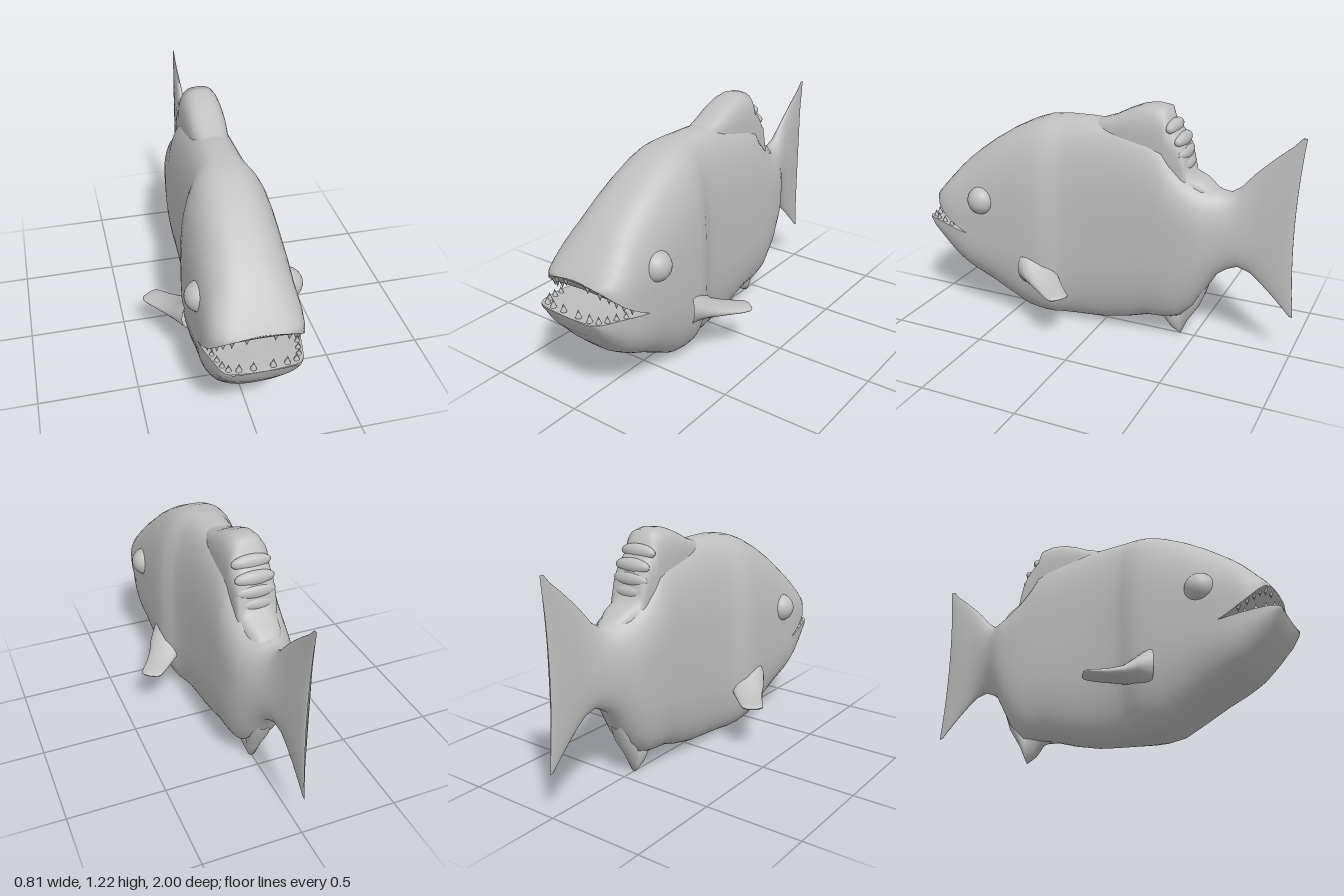
import * as THREE from 'three';
import { mergeVertices, mergeGeometries } from 'three/addons/utils/BufferGeometryUtils.js';

const skin = new THREE.MeshStandardMaterial({ color: 0xc0c0c0, side: THREE.DoubleSide });
skin.name = 'grey skin';

// Skins a list of equally long point rows
function skinRows(rows) {
  const pos = [], index = [], n = rows[0].length;
  rows.forEach(row => row.forEach(p => pos.push(...p)));
  for (let i = 0; i < rows.length - 1; i++) {
    for (let j = 0; j < n - 1; j++) {
      const a = i * n + j, c = a + n;
      index.push(a, c, a + 1, a + 1, c, c + 1);
    }
  }
  const g = new THREE.BufferGeometry();
  g.setAttribute('position', new THREE.Float32BufferAttribute(pos, 3));
  g.setIndex(index);
  return g;
}

function smooth(geometries) {
  const g = mergeVertices(mergeGeometries(geometries), 1e-4);
  g.computeVertexNormals();
  return g;
}

const pow = (v, e) => Math.sign(v) * Math.abs(v) ** e;

// Superellipse arc; a station is [z, bottom, mid, top, halfWidth, exponent, bow]
function arc([z, bottom, mid, top, w, n = 2.7, bow = 0], from, to, steps = 28) {
  const points = [];
  for (let j = 0; j <= steps; j++) {
    const t = Math.PI * (from + (to - from) * j / steps);
    const c = pow(Math.cos(t), 2 / n), s = pow(Math.sin(t), 2 / n);
    points.push([w * c, mid + s * (s > 0 ? top - mid : mid - bottom), z + bow * (1 - s * s)]);
  }
  return points;
}

// Trunk and tail, from the mouth corner backwards
const trunk = [
  [0.72, 0.188, 0.46, 0.885, 0.236], [0.625, 0.14, 0.48, 0.955, 0.236],
  [0.52, 0.08, 0.49, 1.02, 0.236], [0.41, 0.022, 0.5, 1.075, 0.236],
  [0.33, 0.01, 0.5, 1.103, 0.235], [0.27, 0.01, 0.5, 1.112, 0.226],
  [0.22, 0.011, 0.51, 1.118, 0.2], [0.17, 0.014, 0.52, 1.12, 0.184],
  [0.08, 0.02, 0.54, 1.121, 0.175], [-0.02, 0.03, 0.55, 1.118, 0.171],
  [-0.15, 0.06, 0.56, 1.105, 0.17], [-0.26, 0.095, 0.58, 1.085, 0.17],
  [-0.33, 0.1, 0.59, 1.055, 0.17], [-0.37, 0.105, 0.59, 0.99, 0.169],
  [-0.43, 0.125, 0.6, 0.92, 0.167], [-0.5, 0.195, 0.61, 0.87, 0.16, 2.5],
  [-0.555, 0.29, 0.62, 0.845, 0.146, 2.3], [-0.61, 0.385, 0.63, 0.828, 0.115, 2.2],
  [-0.66, 0.42, 0.635, 0.826, 0.085, 2], [-0.71, 0.44, 0.64, 0.86, 0.062, 2],
  [-0.77, 0.42, 0.65, 0.93, 0.042, 2], [-0.82, 0.38, 0.66, 0.98, 0.034, 2],
  [-0.88, 0.325, 0.67, 1.035, 0.026, 2], [-0.94, 0.265, 0.67, 1.085, 0.016, 2, 0.005],
  [-0.98, 0.222, 0.67, 1.13, 0.01, 2, 0.012], [-1, 0.215, 0.67, 1.13, 0.002, 2, 0.026],
];
// Upper head: its mid height is the upper lip
const snout = [
  [0.949, 0, 0.637, 0.642, 0.1], [0.937, 0, 0.618, 0.662, 0.165],
  [0.91, 0, 0.588, 0.695, 0.2], [0.87, 0, 0.55, 0.742, 0.222],
  [0.82, 0, 0.515, 0.798, 0.232], [0.77, 0, 0.485, 0.845, 0.235],
];
// Lower jaw: its mid height is the lower lip
const jaw = [
  [1, 0.488, 0.5, 0, 0.15], [0.988, 0.455, 0.5, 0, 0.175],
  [0.957, 0.395, 0.499, 0, 0.192], [0.89, 0.315, 0.49, 0, 0.208],
  [0.82, 0.248, 0.478, 0, 0.224], [0.77, 0.216, 0.468, 0, 0.232],
];

// Flat strip between the lips, bulging upward by rise
function mouthLining(stations, rise) {
  return smooth([skinRows([...stations, trunk[0]].map(([z, , mid, , w]) =>
    Array.from({ length: 13 }, (_, j) => {
      const u = 1 - j / 6;
      return [w * u, mid + rise * (1 - u * u) * Math.min(1, (z - 0.72) * 8), z];
    })))]);
}

const fullLoft = stations => smooth([skinRows(stations.map(s => arc(s, 0, 2, 40)))]);

export function createModel() {
  const model = new THREE.Group();
  const add = (name, geometry, x = 0, y = 0, z = 0) => {
    const mesh = new THREE.Mesh(geometry, skin);
    mesh.name = name;
    mesh.position.set(x, y, z);
    model.add(mesh);
    return mesh;
  };

  add('body', smooth([
    skinRows([...snout, ...trunk].map(s => arc(s, 0, 1))),
    skinRows([...jaw, ...trunk].map(s => arc(s, 1, 2))),
  ]));
  add('palate', mouthLining(snout, 0.012));
  add('mouthFloor', mouthLining(jaw, -0.012));

  // Thick rounded dorsal fin: z, top, mid, half width
  add('dorsalFin', fullLoft([
    [0.03, 1.118, 1.05, 0.075], [-0.05, 1.145, 1.05, 0.092], [-0.12, 1.182, 1.05, 0.1],
    [-0.2, 1.215, 1.04, 0.104], [-0.27, 1.226, 1.02, 0.106], [-0.33, 1.218, 1, 0.106],
    [-0.345, 1.16, 0.98, 0.106], [-0.4, 1.1, 0.95, 0.104], [-0.43, 1.05, 0.9, 0.102],
    [-0.448, 0.97, 0.85, 0.1], [-0.46, 0.91, 0.82, 0.097], [-0.53, 0.878, 0.8, 0.085],
    [-0.59, 0.832, 0.77, 0.06],
  ].map(([z, top, mid, w]) => [z, mid - 0.1, mid, top, w, 3])));

  // Scalloped lobes down the rear of the dorsal fin
  [[1.12, -0.36], [1.06, -0.405], [1.0, -0.42], [0.94, -0.428]].forEach(([y, z]) =>
    add('dorsalRidge', new THREE.SphereGeometry(1, 20, 12).scale(0.1, 0.038, 0.032), 0, y, z));

  // Small fin under the tail root: z, bottom, half width
  add('analFin', fullLoft([
    [-0.26, 0.1, 0.03], [-0.335, 0.083, 0.045], [-0.38, 0.03, 0.045], [-0.425, 0.003, 0.035],
    [-0.46, 0.085, 0.05], [-0.52, 0.18, 0.055], [-0.56, 0.285, 0.05],
  ].map(([z, bottom, w]) => [z, bottom, bottom + 0.09, bottom + 0.15, w, 2])));

  // Pectoral fins: centre x, y, z, half chord, half thickness
  const finPath = [
    [0.16, 0.32, 0.34, 0.11, 0.11], [0.21, 0.3, 0.29, 0.095, 0.062],
    [0.25, 0.276, 0.24, 0.078, 0.036], [0.3, 0.264, 0.18, 0.066, 0.024],
    [0.34, 0.26, 0.135, 0.06, 0.019], [0.362, 0.26, 0.108, 0.054, 0.014],
    [0.371, 0.26, 0.098, 0.035, 0.007], [0.373, 0.26, 0.096, 0, 0],
  ];
  for (const side of [1, -1]) {
    const rows = finPath.map(([x, y, z, chord, thick]) => {
      const row = Array.from({ length: 25 }, (_, j) => {
        const t = (j % 24) * Math.PI / 12, c = chord * Math.cos(t);
        return [side * (x + 0.81 * c), y + thick * Math.sin(t), z + 0.59 * c];
      });
      return side > 0 ? row : row.reverse();
    });
    const label = side > 0 ? 'left' : 'right';
    add(label + 'PectoralFin', smooth([skinRows(rows)]));
    add(label + 'Eye', new THREE.SphereGeometry(0.076, 32, 20), side * 0.204, 0.655, 0.633);

    // Pointed teeth along both lips
    [[0.045, 0.5, 0.978], [0.11, 0.5, 0.976], [0.155, 0.498, 0.968], [0.176, 0.493, 0.935],
      [0.188, 0.488, 0.89], [0.2, 0.478, 0.84]].forEach(([x, y, z]) =>
      add('lowerTooth', new THREE.ConeGeometry(0.015, 0.042, 8), side * x, y + 0.015, z));
    [[0.065, 0.626, 0.932], [0.13, 0.612, 0.925], [0.165, 0.597, 0.908], [0.187, 0.572, 0.885],
      [0.203, 0.545, 0.855], [0.214, 0.517, 0.815]].forEach(([x, y, z]) =>
      add('upperTooth', new THREE.ConeGeometry(0.013, 0.04, 8).rotateX(Math.PI), side * x, y - 0.012, z));
  }
  return model;
}
